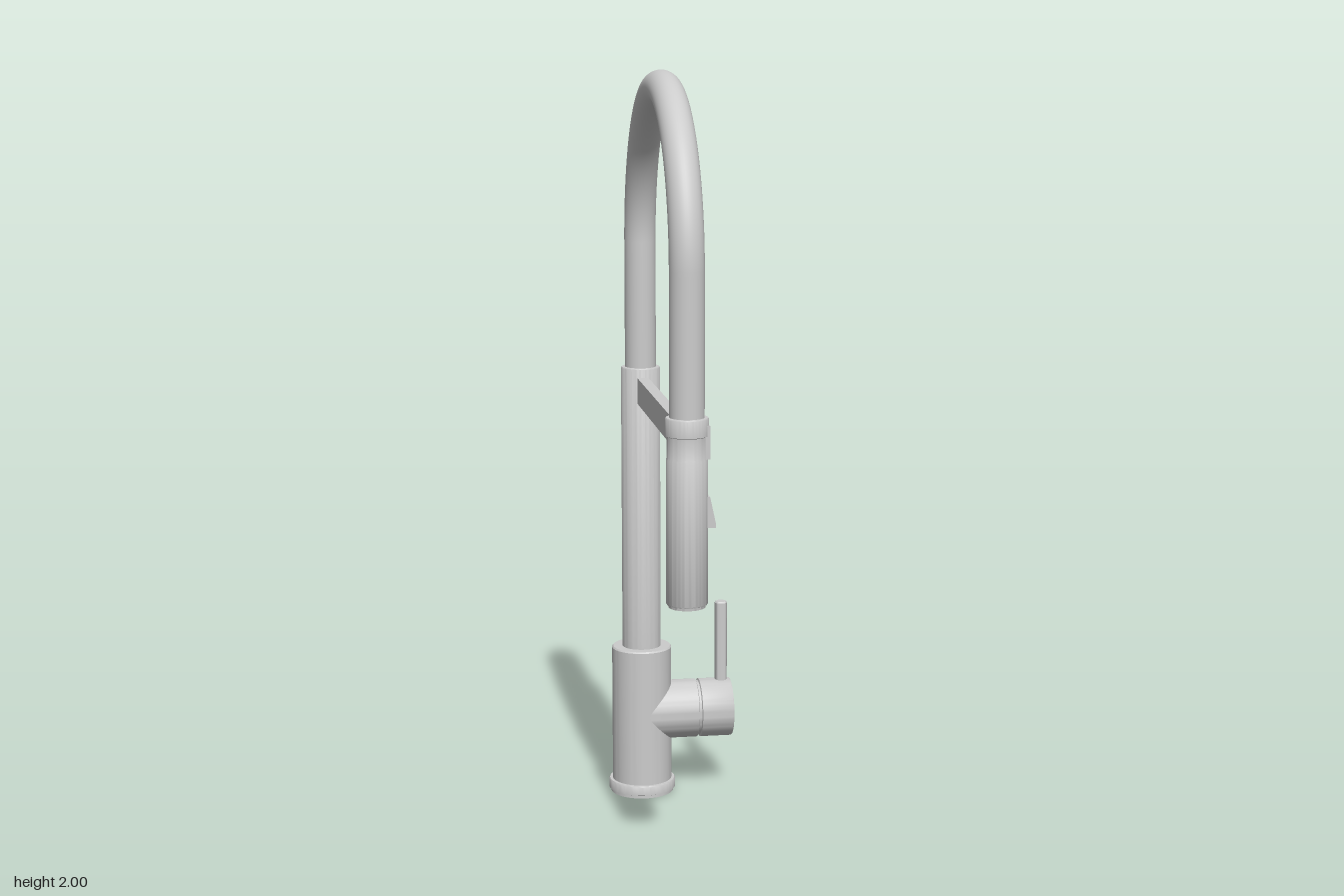
import * as THREE from 'three';
import { toCreasedNormals } from 'three/addons/utils/BufferGeometryUtils.js';

const X = -0.08, BACK = -0.395, FRONT = 0.44; // column and spray head axes

export function createModel() {
  const model = new THREE.Group();
  model.name = 'kitchenTap';
  const material = new THREE.MeshStandardMaterial({ color: 0xcccccc, roughness: 0.5 });

  const add = (name, geometry, x = 0, y = 0, z = 0) => {
    const mesh = new THREE.Mesh(geometry, material);
    mesh.name = name;
    mesh.position.set(x, y, z);
    model.add(mesh);
    return mesh;
  };
  // Turned part with crisp edges; profile runs from bottom to top as [radius, height]
  const turned = (profile, sides = 64) => toCreasedNormals(
    new THREE.LatheGeometry(profile.map(([r, y]) => new THREE.Vector2(r, y)), sides), 0.6);

  // Foot ring, hollow underneath
  add('footRing', turned([
    [0, 0.08], [0.05, 0.08], [0.05, 0.012], [0.064, 0.012], [0.064, 0.026],
    [0.08, 0.026], [0.08, 0], [0.087, 0], [0.087, 0.008], [0.092, 0.01],
    [0.092, 0.033], [0.09, 0.036], [0.07, 0.036],
  ]), X, 0, BACK);

  // Valve body and riser column
  add('body', turned([[0.078, 0.034], [0.082, 0.036], [0.082, 0.414], [0.079, 0.418], [0, 0.418]]), X, 0, BACK);
  add('column', turned([[0.053, 0.41], [0.053, 1.197], [0.051, 1.2], [0.042, 1.2], [0.042, 1.17], [0, 1.17]]), X, 0, BACK);

  // Side valve with a groove between neck and turning cap
  const valve = add('valveAndCap', turned([
    [0.081, 0], [0.081, 0.151], [0.076, 0.153], [0.076, 0.159], [0.081, 0.161],
    [0.081, 0.246], [0.079, 0.249], [0, 0.249],
  ]), X, 0.23, BACK);
  valve.rotation.z = -Math.PI / 2;
  add('lever', turned([[0.017, 0.28], [0.017, 0.531], [0.014, 0.535], [0, 0.535]], 32), 0.143, 0, BACK);

  // Arched hose
  const path = new THREE.CurvePath();
  const mid = (FRONT + BACK) / 2, radius = (FRONT - BACK) / 2, spring = 1.958 - radius;
  const v = (y, z) => new THREE.Vector3(X, y, z);
  class Arch extends THREE.Curve {
    getPoint(t, target = new THREE.Vector3()) {
      const a = Math.PI * t;
      return target.set(X, spring + radius * Math.sin(a), mid - radius * Math.cos(a));
    }
  }
  path.add(new THREE.LineCurve3(v(1.17, BACK), v(spring, BACK)));
  path.add(new Arch());
  path.add(new THREE.LineCurve3(v(spring, FRONT), v(1.16, FRONT)));
  add('hose', new THREE.TubeGeometry(path, 140, 0.042, 40, false));

  // Support arm from column to holder
  add('supportArm', new THREE.BoxGeometry(0.03, 0.07, 0.77), X, 1.14, 0.025);

  // Spray head: nozzle recess, barrel, narrowed waist and top collar
  add('sprayHead', turned([
    [0, 0.755], [0.034, 0.755], [0.034, 0.74], [0.044, 0.74], [0.044, 0.747],
    [0.048, 0.747], [0.05, 0.75], [0.05, 1.1], [0.048, 1.104], [0.048, 1.155],
    [0.052, 1.157], [0.052, 1.197], [0.05, 1.2], [0.042, 1.2], [0.042, 1.17], [0, 1.17],
  ]), X, 0, FRONT);
  // Nozzle outlets
  for (let i = 0; i < 8; i++) {
    const a = i * Math.PI / 4;
    add('nozzleOutlet', new THREE.CylinderGeometry(0.004, 0.004, 0.014, 10),
      X + 0.022 * Math.cos(a), 0.75, FRONT + 0.022 * Math.sin(a));
  }
  // Holder clip on the side of the head
  add('holderClip', new THREE.BoxGeometry(0.025, 0.08, 0.066), X + 0.039, 1.142, FRONT - 0.006);

  // Wedge-shaped spray button
  const wedge = new THREE.Shape([[-0.045, 1.01], [-0.045, 0.935], [-0.013, 0.935], [-0.013, 0.945], [-0.027, 1.01]]
    .map(([x, y]) => new THREE.Vector2(x, y)));
  add('sprayButton', new THREE.ExtrudeGeometry(wedge, { depth: 0.036, bevelEnabled: false }), 0, 0, FRONT - 0.018);

  return model;
}
